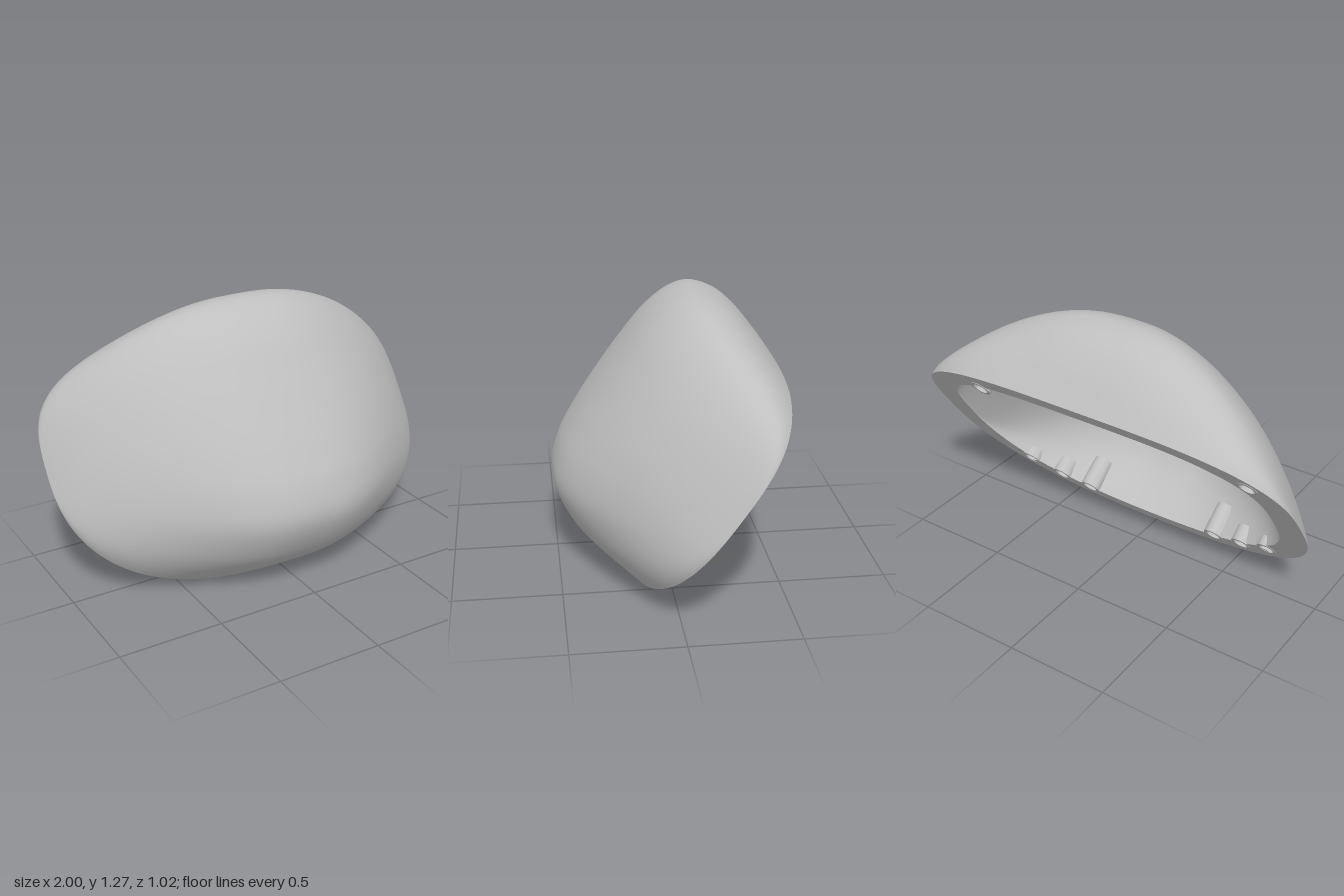
import * as THREE from 'three';
import { toCreasedNormals } from 'three/addons/utils/BufferGeometryUtils.js';

// Local frame: x across, y up the open back plane, z out toward the domed front.
const MID = 0.08, BOTTOM = -0.602, TOP = 0.602;
const INNER = [0.86, 0.87, 0.87];

// Side profile on the centre line, as height and depth
const profile = new THREE.CatmullRomCurve3([
  [-0.602, 0], [-0.604, 0.09], [-0.602, 0.19], [-0.575, 0.325], [-0.47, 0.498], [-0.33, 0.56],
  [-0.16, 0.58], [0.03, 0.584], [0.206, 0.582], [0.4, 0.57], [0.544, 0.528], [0.634, 0.456],
  [0.676, 0.325], [0.662, 0.192], [0.602, 0],
].map(([v, w]) => new THREE.Vector3(0, v, w)), false, 'centripetal');

// How far the rounded rim outline shrinks at a given x, below and above its widest line
const shrink = (x, n) => Math.pow(Math.max(0, 1 - Math.abs(x) ** n), 1 / n);
const rimHeight = (x, v) => MID + (v - MID) * shrink(x, v < MID ? 2.4 : 3.3);
const depthScale = x => Math.pow(Math.max(0, 1 - Math.abs(x) ** 2.2), 0.95);
const power = (a, n) => Math.sign(a) * Math.abs(a) ** n;

// Domed skin lofted from side slices, which turn from the centre profile into
// upward-leaning arches at the sides; a lower roundness makes squarer arches
function skin(scale, roundness, inside) {
  const N = 110, M = 72, pos = [], index = [];
  const pts = profile.getSpacedPoints(M);
  for (let i = 0; i <= N; i++) {
    const x = -Math.cos(Math.PI * i / N), d = depthScale(x);
    const low = rimHeight(x, BOTTOM), high = rimHeight(x, TOP);
    const blend = THREE.MathUtils.smoothstep(Math.abs(x), 0.1, 0.9);
    pts.forEach((p, j) => {
      const angle = Math.PI * j / M;
      const base = THREE.MathUtils.clamp(p.y, BOTTOM, TOP);
      const v = rimHeight(x, base) + (p.y - base) * d * d, w = p.z * d;
      const archW = j === M ? 0 : 0.58 * d * power(Math.sin(angle), roundness);
      const archV = (low + high) / 2 - (high - low) / 2 * power(Math.cos(angle), roundness) + 0.3 * archW;
      pos.push(
        x * scale[0],
        THREE.MathUtils.lerp(v, archV, blend) * scale[1],
        THREE.MathUtils.lerp(w, archW, blend) * scale[2],
      );
    });
  }
  for (let i = 0; i < N; i++) for (let j = 0; j < M; j++) {
    const a = i * (M + 1) + j, b = a + M + 1;
    if (inside) index.push(a, b + 1, b, a, a + 1, b + 1);
    else index.push(a, b, b + 1, a, b + 1, a + 1);
  }
  const g = new THREE.BufferGeometry();
  g.setAttribute('position', new THREE.Float32BufferAttribute(pos, 3));
  g.setIndex(index);
  g.computeVertexNormals();
  return g;
}

// Closed outline of the rim
function outline(sx, sy, n) {
  const pts = [];
  for (let k = 0; k < 2 * n; k++) {
    const x = -Math.cos(Math.PI * k / n);
    pts.push(new THREE.Vector2(x * sx, rimHeight(x, k < n ? BOTTOM : TOP) * sy));
  }
  return pts;
}

// Screw posts: x, height, length; one is sunk in the rim, the rest cross its inner edge
const POST_R = 0.051, HOLE_R = 0.036;
const sunkPost = [-0.82, 0.415, 0.05];
const edgePosts = [[0.59, 0.465, 0.07]];
for (const side of [1, -1]) {
  for (const [x, v, length] of [[0.375, -0.485, 0.16], [0.542, -0.448, 0.085], [0.705, -0.366, 0.05]]) {
    edgePosts.push([x * side, v, length]);
  }
}

// Push a rim point lying inside a post out to the post's far side
function notch(p) {
  const dir = p.clone().normalize();
  let r = p.length();
  for (const [x, v] of edgePosts) {
    if (Math.hypot(p.x - x, p.y - v) > POST_R) continue;
    const along = dir.x * x + dir.y * v;
    r = along + Math.sqrt(POST_R ** 2 - (x * x + v * v - along * along));
  }
  return dir.multiplyScalar(r);
}

export function createModel() {
  const model = new THREE.Group();
  model.name = 'domedCover';
  const grey = new THREE.MeshStandardMaterial({ color: 0xbfbfbf });
  grey.name = 'lightGrey';

  const body = new THREE.Group();
  body.name = 'tiltedShell';
  body.position.set(0, 0.495, -0.1625);
  body.rotation.x = -0.61;
  model.add(body);

  const add = (geometry, name) => {
    const mesh = new THREE.Mesh(geometry, grey);
    mesh.name = name;
    body.add(mesh);
    return mesh;
  };

  add(skin([1, 1, 1], 0.87, false), 'outerDome');
  add(skin(INNER, 0.68, true), 'innerDome');

  // Flat back rim, notched around the posts and turned to face backward
  const rim = new THREE.Shape(outline(1, 1, 220));
  rim.holes.push(new THREE.Path(outline(INNER[0], INNER[1], 400).map(notch)));
  rim.holes.push(new THREE.Path().absarc(sunkPost[0], sunkPost[1], 0.042, 0, Math.PI * 2));
  const rimGeometry = new THREE.ShapeGeometry(rim, 20);
  const corners = rimGeometry.index.array;
  for (let i = 0; i < corners.length; i += 3) [corners[i], corners[i + 1]] = [corners[i + 1], corners[i]];
  rimGeometry.computeVertexNormals();
  add(rimGeometry, 'backRim');

  // Hollow screw posts
  for (const [x, v, length] of [sunkPost, ...edgePosts]) {
    const hole = length * 0.8;
    const section = [[0, hole], [HOLE_R, hole], [HOLE_R, 0], [POST_R, 0], [POST_R, length], [0, length]]
      .map(([r, y]) => new THREE.Vector2(r, y));
    const g = toCreasedNormals(new THREE.LatheGeometry(section, 28).rotateX(Math.PI / 2), 0.7);
    add(g, 'screwPost').position.set(x, v, -0.002);
  }
  return model;
}
